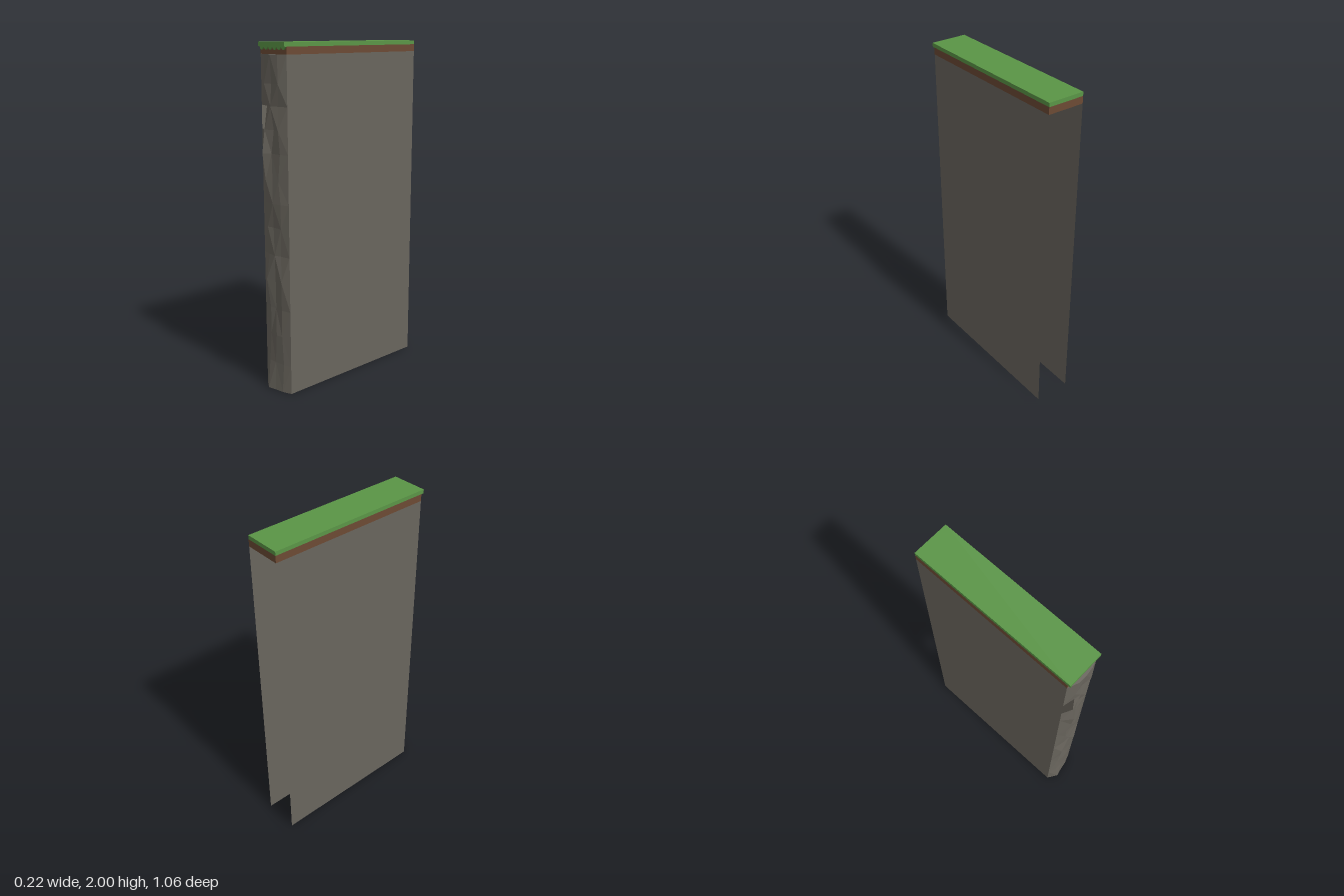
import * as THREE from 'three';

const HALF = 0.11, BACK = -0.53, FRONT = 0.48, ROCK_TOP = 1.936, DIRT_TOP = 1.977;

export function createModel() {
  const rock = new THREE.MeshStandardMaterial({ color: 0x69655d, flatShading: true, side: THREE.DoubleSide });
  rock.name = 'rock grey';
  const dirt = new THREE.MeshStandardMaterial({ color: 0x6c4a34 });
  dirt.name = 'dirt brown';
  const grass = new THREE.MeshStandardMaterial({ color: 0x5a9546, side: THREE.DoubleSide });
  grass.name = 'grass green';

  const group = new THREE.Group();
  group.name = 'cliffBlock';
  const add = (name, geometry, material, x = 0, y = 0, z = 0) => {
    const mesh = new THREE.Mesh(geometry, material);
    mesh.name = name;
    mesh.position.set(x, y, z);
    group.add(mesh);
    return mesh;
  };
  const slab = (name, y0, y1, z1, material) => add(name,
    new THREE.BoxGeometry(HALF * 2, y1 - y0, z1 - BACK), material, 0, (y0 + y1) / 2, (z1 + BACK) / 2);

  // Flat side walls, open at the back and underneath
  for (const side of [-1, 1]) {
    const wall = add(side < 0 ? 'rightWall' : 'leftWall',
      new THREE.PlaneGeometry(FRONT - BACK, ROCK_TOP), rock, side * HALF, ROCK_TOP / 2, (FRONT + BACK) / 2);
    wall.rotation.y = side * Math.PI / 2;
  }

  // Craggy front: each row is a height and the depths of the three inner columns
  const rows = [
    [0.00, 0.520, 0.508, 0.500],
    [0.17, 0.500, 0.500, 0.494],
    [0.34, 0.492, 0.500, 0.496],
    [0.50, 0.496, 0.488, 0.494],
    [0.67, 0.511, 0.494, 0.504],
    [0.82, 0.497, 0.502, 0.490],
    [0.98, 0.504, 0.495, 0.494],
    [1.12, 0.506, 0.508, 0.498],
    [1.25, 0.517, 0.504, 0.500],
    [1.40, 0.528, 0.500, 0.496],
    [1.53, 0.509, 0.493, 0.504],
    [1.66, 0.497, 0.506, 0.493],
    [1.78, 0.504, 0.496, 0.505],
    [ROCK_TOP, 0.505, 0.507, 0.500],
  ];
  const columns = [-HALF, -0.05, 0, 0.055, HALF];
  const points = [], index = [];
  rows.forEach(([y, ...depths], r) => {
    columns.forEach((x, c) => {
      const inner = c > 0 && c < 4;
      const shift = inner && r > 0 && r < 13 ? 0.008 * Math.sin(r * 2.3 + c * 1.7) : 0;
      points.push(x + shift, y, inner ? depths[c - 1] : FRONT);
    });
  });
  // Narrow ledge back to the dirt band
  columns.forEach((x) => points.push(x, ROCK_TOP, FRONT));
  for (let r = 0; r < rows.length; r++) {
    for (let c = 0; c < 4; c++) {
      if (r === 10 && c === 0) continue; // opening in the face
      const a = r * 5 + c, b = a + 1, d = a + 5, e = a + 6;
      if ((r + c) % 2) index.push(a, b, e, a, e, d);
      else index.push(a, b, d, b, e, d);
    }
  }
  const indexed = new THREE.BufferGeometry();
  indexed.setAttribute('position', new THREE.Float32BufferAttribute(points, 3));
  indexed.setIndex(index);
  const face = indexed.toNonIndexed();
  face.computeVertexNormals();
  add('rockFace', face, rock);

  // Dirt band and overhanging turf
  slab('dirtBand', ROCK_TOP, DIRT_TOP, FRONT, dirt);
  slab('turf', DIRT_TOP, 2, 0.497, grass);

  // Ragged grass fringe hanging over the front of the dirt
  const fringe = new THREE.Shape();
  fringe.moveTo(-HALF, DIRT_TOP + 0.002);
  const teeth = 6, step = HALF * 2 / teeth;
  for (let i = 0; i < teeth; i++) {
    const x = -HALF + i * step;
    fringe.lineTo(x + step * 0.25, 1.962);
    fringe.lineTo(x + step * 0.55, 1.959);
    fringe.lineTo(x + step, 1.976);
  }
  fringe.lineTo(HALF, DIRT_TOP + 0.002);
  add('grassFringe', new THREE.ExtrudeGeometry(fringe, { depth: 0.008, bevelEnabled: false }), grass, 0, 0, FRONT);

  return group;
}
